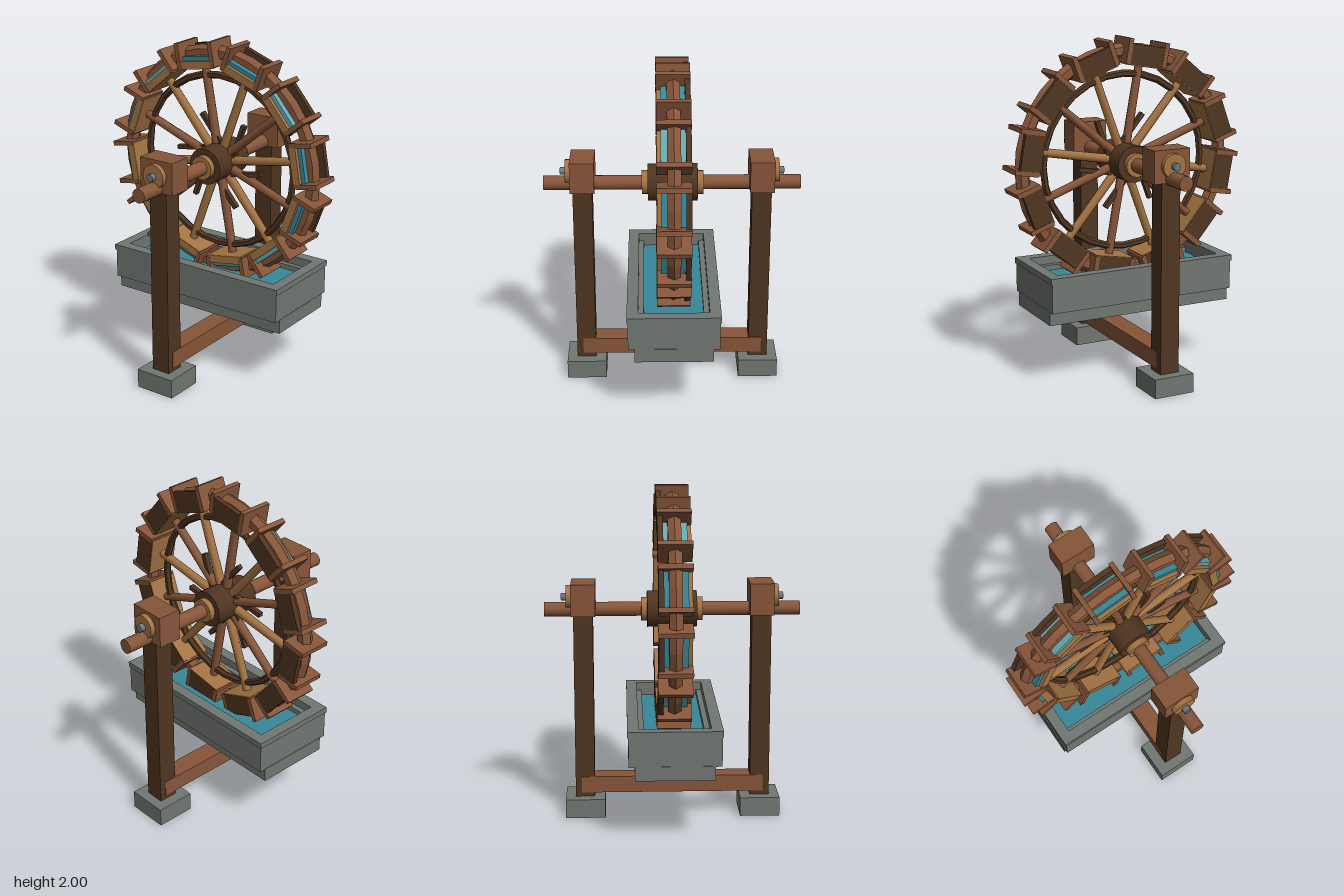
import * as THREE from 'three';

const mat = (name, color) => {
  const m = new THREE.MeshStandardMaterial({ color });
  m.name = name;
  return m;
};

export function createModel() {
  const wood = mat('mid wood', 0x87563a);
  const darkWood = mat('dark wood', 0x4f3521);
  const tan = mat('light wood', 0xa47443);
  const stone = mat('stone', 0x717772);
  const water = mat('water', 0x388898);
  const paleWater = mat('pale water', 0x64aab4);
  const iron = mat('iron', 0x6c7882);

  const model = new THREE.Group();
  model.name = 'waterWheel';

  const add = (parent, name, geometry, material, x = 0, y = 0, z = 0) => {
    const mesh = new THREE.Mesh(geometry, material);
    mesh.name = name;
    mesh.position.set(x, y, z);
    parent.add(mesh);
    return mesh;
  };
  // Box given by its minimum and maximum on each axis
  const box = (parent, name, material, [x0, x1], [y0, y1], [z0, z1]) =>
    add(parent, name, new THREE.BoxGeometry(x1 - x0, y1 - y0, z1 - z0), material,
      (x0 + x1) / 2, (y0 + y1) / 2, (z0 + z1) / 2);
  // Cylinder lying along z
  const rod = (parent, name, material, r, z0, z1, y = 0, sides = 16) =>
    add(parent, name, new THREE.CylinderGeometry(r, r, z1 - z0, sides).rotateX(Math.PI / 2),
      material, 0, y, (z0 + z1) / 2);
  // Faceted ring around z
  const ring = (parent, name, material, R, r, sides, segments) => {
    const g = new THREE.TorusGeometry(R, r, sides, segments).toNonIndexed();
    g.computeVertexNormals();
    return add(parent, name, g, material);
  };

  // Wheel
  const wheel = new THREE.Group();
  wheel.name = 'wheel';
  wheel.position.set(0, 1.265, -0.003);
  model.add(wheel);
  rod(wheel, 'axle', wood, 0.043, -0.757, 0.763);
  rod(wheel, 'hub', darkWood, 0.11, -0.147, 0.147);
  for (const s of [-1, 1]) {
    const z = [s * 0.145, s * 0.182].sort((a, b) => a - b);
    rod(wheel, 'hubCollar', tan, 0.071, z[0], z[1]);
  }
  ring(wheel, 'outerRim', wood, 0.656, 0.044, 6, 36);
  ring(wheel, 'innerRing', darkWood, 0.521, 0.022, 6, 28);

  // Twelve sectors; local x points outward, local y along the rim
  for (let i = 0; i < 12; i++) {
    const sector = new THREE.Group();
    sector.name = 'sector';
    sector.rotation.z = THREE.MathUtils.degToRad(10 + 30 * i);
    wheel.add(sector);

    const spoke = new THREE.CylinderGeometry(0.025, 0.028, 0.52, 8).rotateZ(-Math.PI / 2);
    add(sector, 'spoke', spoke, i % 2 ? wood : tan, 0.34, 0, 0);
    if (i % 2 === 0) {
      box(sector, 'hubBrace', darkWood, [0.04, 0.29], [-0.095, -0.068], [-0.016, 0.016]);
    }

    // Bucket, open outward
    const bucket = new THREE.Group();
    bucket.name = 'bucket';
    sector.add(bucket);
    box(bucket, 'bucketFloor', tan, [0.568, 0.59], [-0.122, 0.122], [-0.094, 0.094]);
    box(bucket, 'bucketBack', darkWood, [0.572, 0.695], [-0.118, 0.118], [-0.096, -0.065]);
    box(bucket, 'bucketLip', tan, [0.57, 0.615], [-0.122, 0.122], [0.072, 0.096]);
    box(bucket, 'bucketWater', i % 3 === 1 ? paleWater : water,
      [0.589, 0.64], [-0.108, 0.108], [-0.066, 0.073]);
    for (const s of [-1, 1]) {
      box(bucket, 'bucketEnd', wood, [0.575, 0.724],
        [s * 0.12 - 0.014, s * 0.12 + 0.014], [-0.098, 0.098]);
    }
  }

  // Supports, front and back
  for (const s of [1, -1]) {
    const stand = new THREE.Group();
    stand.name = s > 0 ? 'frontSupport' : 'backSupport';
    if (s < 0) stand.rotation.y = Math.PI;
    model.add(stand);
    box(stand, 'footing', stone, [-0.125, 0.125], [0, 0.115], [0.408, 0.648]);
    box(stand, 'post', darkWood, [-0.059, 0.059], [0.115, 1.25], [0.472, 0.588]);
    box(stand, 'bearingBlock', wood, [-0.112, 0.112], [1.24, 1.43], [0.456, 0.6]);
    rod(stand, 'bearingCap', tan, 0.071, 0.598, 0.63, 1.34);
    rod(stand, 'bolt', iron, 0.023, 0.628, 0.66, 1.34, 10);
  }
  box(model, 'groundBeam', wood, [-0.062, 0.062], [0.14, 0.24], [-0.55, 0.55]);

  // Stone trough
  const trough = new THREE.Group();
  trough.name = 'trough';
  trough.position.z = -0.003;
  model.add(trough);
  box(trough, 'base', stone, [-0.592, 0.592], [0.385, 0.47], [-0.23, 0.23]);
  for (const s of [-1, 1]) {
    const span = (a, b) => (s > 0 ? [a, b] : [-b, -a]);
    box(trough, 'sideWall', stone, [-0.59, 0.59], [0.466, 0.645], span(0.207, 0.267));
    box(trough, 'sideRim', stone, [-0.597, 0.597], [0.64, 0.675], span(0.207, 0.273));
    box(trough, 'innerLedge', stone, [-0.535, 0.535], [0.466, 0.625], span(0.175, 0.21));
    box(trough, 'endWall', stone, span(0.531, 0.59), [0.466, 0.645], [-0.21, 0.21]);
    box(trough, 'endRim', stone, span(0.531, 0.597), [0.64, 0.675], [-0.207, 0.207]);
  }
  box(trough, 'troughWater', water, [-0.532, 0.532], [0.468, 0.595], [-0.176, 0.176]);

  return model;
}
